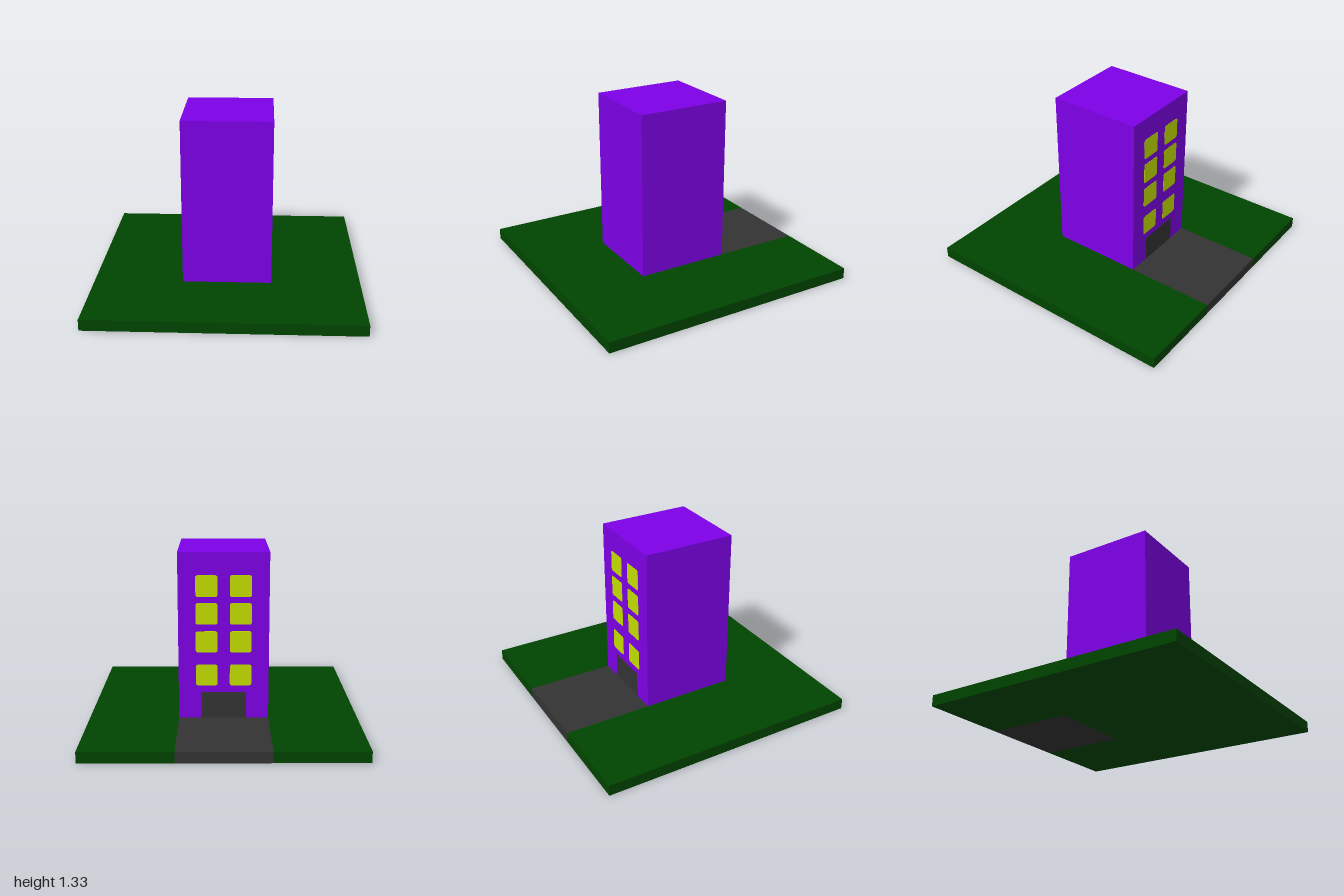
import * as THREE from 'three';

const purple = new THREE.MeshStandardMaterial({ color: 0x7d00e6 });
purple.name = 'purple wall';
const green = new THREE.MeshStandardMaterial({ color: 0x004400 });
green.name = 'grass green';
const grey = new THREE.MeshStandardMaterial({ color: 0x333333 });
grey.name = 'asphalt grey';
const yellow = new THREE.MeshStandardMaterial({ color: 0xc4de00 });
yellow.name = 'window yellow';

const SLAB = 0.083;   // ground thickness
const HALF = 0.333;   // half width of tower and driveway
const BACK = -0.333;  // entrance wall
const FRONT = 0.373;
const TOP = 1.333;

export function createModel() {
  const model = new THREE.Group();
  model.name = 'towerBlock';

  const add = (name, geometry, material, x, y, z, parent = model) => {
    const mesh = new THREE.Mesh(geometry, material);
    mesh.name = name;
    mesh.position.set(x, y, z);
    parent.add(mesh);
  };

  // Lawn: square slab with a notch at the back for the driveway
  const outline = new THREE.Shape([
    [-1, -1], [1, -1], [1, 1], [HALF, 1], [HALF, -BACK], [-HALF, -BACK], [-HALF, 1], [-1, 1],
  ].map(([x, y]) => new THREE.Vector2(x, y)));
  const lawn = new THREE.ExtrudeGeometry(outline, { depth: SLAB, bevelEnabled: false });
  lawn.rotateX(-Math.PI / 2);
  add('lawn', lawn, green, 0, 0, 0);

  // Driveway fills the notch
  const length = 1 + BACK;
  add('driveway', new THREE.BoxGeometry(2 * HALF, SLAB, length), grey, 0, SLAB / 2, -1 + length / 2);

  // Tower
  add('tower', new THREE.BoxGeometry(2 * HALF, TOP - SLAB, FRONT - BACK), purple,
    0, (TOP + SLAB) / 2, (FRONT + BACK) / 2);

  // Door and windows: thin plates, almost flush with the entrance wall
  const plate = 0.003;
  add('door', new THREE.BoxGeometry(0.333, 0.2, plate), grey, 0, SLAB + 0.1, BACK);

  const s = 0.08, r = 0.016;
  const pane = new THREE.Shape();
  pane.absarc(s - r, s - r, r, 0, Math.PI / 2);
  pane.absarc(-s + r, s - r, r, Math.PI / 2, Math.PI);
  pane.absarc(-s + r, -s + r, r, Math.PI, Math.PI * 1.5);
  pane.absarc(s - r, -s + r, r, Math.PI * 1.5, Math.PI * 2);
  const paneGeometry = new THREE.ExtrudeGeometry(pane, { depth: plate, bevelEnabled: false, curveSegments: 3 });

  const windows = new THREE.Group();
  windows.name = 'windows';
  model.add(windows);
  for (const y of [1.085, 0.88, 0.67, 0.416]) {
    for (const x of [-0.125, 0.125]) add('window', paneGeometry, yellow, x, y, BACK - plate / 2, windows);
  }

  return model;
}
